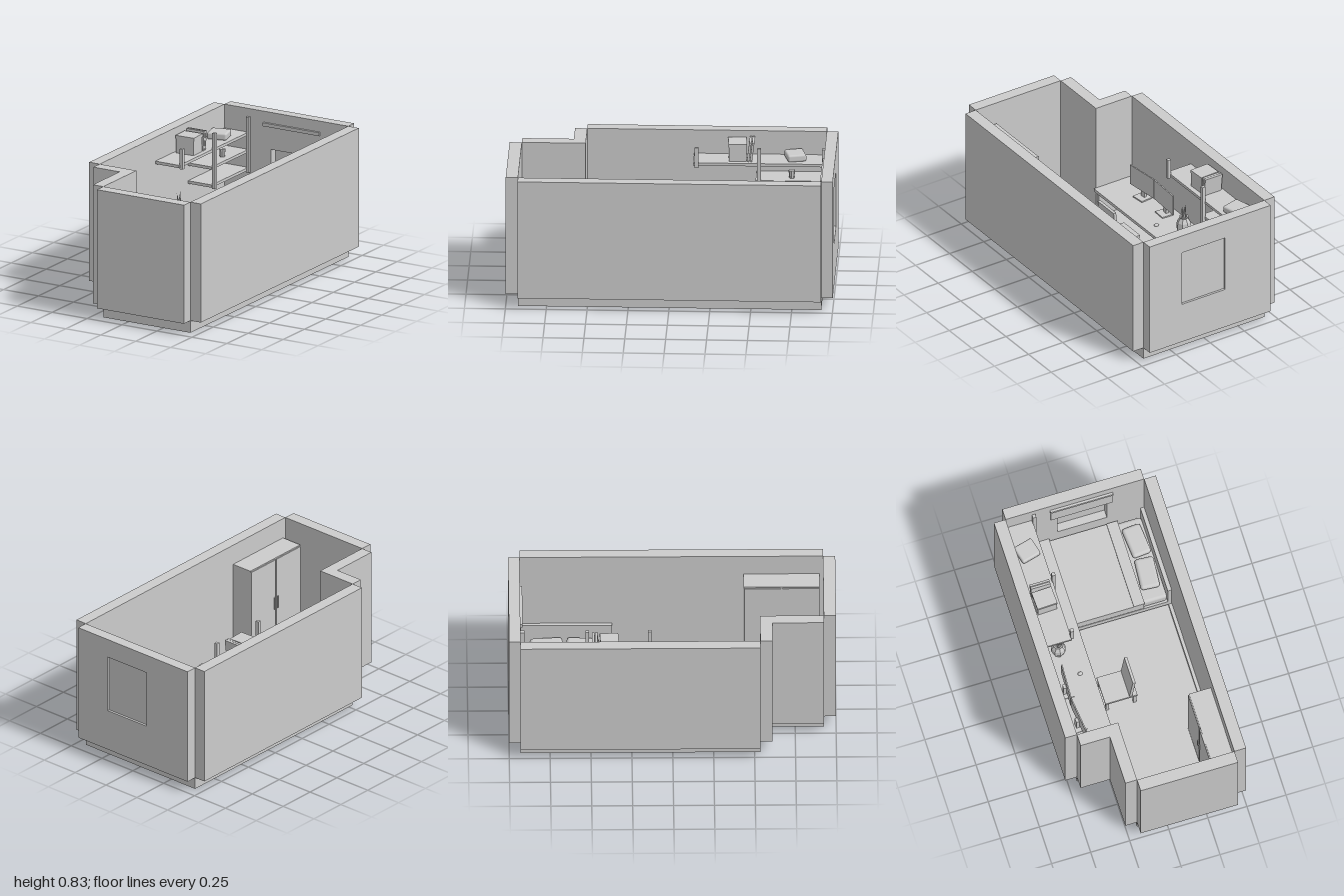
import * as THREE from 'three';
import { RoundedBoxGeometry } from 'three/addons/geometries/RoundedBoxGeometry.js';

const grey = new THREE.MeshStandardMaterial({ color: 0xcccccc, flatShading: true });
const soft = new THREE.MeshStandardMaterial({ color: 0xcccccc });

export function createModel() {
  const model = new THREE.Group();

  const part = (name, parent = model) => {
    const g = new THREE.Group();
    g.name = name;
    parent.add(g);
    return g;
  };
  const add = (name, geometry, parent = model, material = grey) => {
    const m = new THREE.Mesh(geometry, material);
    m.name = name;
    parent.add(m);
    return m;
  };
  // Box given by its limits on each axis
  const box = (name, [x0, x1], [y0, y1], [z0, z1], parent = model) => {
    const m = add(name, new THREE.BoxGeometry(x1 - x0, y1 - y0, z1 - z0), parent);
    m.position.set((x0 + x1) / 2, (y0 + y1) / 2, (z0 + z1) / 2);
    return m;
  };
  const cushion = (name, size, pos, turn, radius, parent = model) => {
    const m = add(name, new RoundedBoxGeometry(...size, 3, radius), parent, soft);
    m.position.set(...pos);
    m.rotation.y = turn;
    return m;
  };

  // Floor slab with a notched front corner
  const FLOOR = 0.077, TOP = 0.835;
  const outline = [[-0.443, 0.93], [0.443, 0.93], [0.443, -0.925], [-0.18, -0.925], [-0.18, -0.535], [-0.443, -0.535]];
  const floorShape = new THREE.Shape(outline.map(([x, y]) => new THREE.Vector2(x, y)));
  const floor = add('floor', new THREE.ExtrudeGeometry(floorShape, { depth: FLOOR, bevelEnabled: false }));
  floor.rotation.x = -Math.PI / 2;

  // Walls stand outside the floor edge and leave the corners open
  const walls = part('walls');
  const H = [FLOOR, TOP];
  box('rightWall', [0.443, 0.518], H, [-0.93, 0.925], walls);
  box('leftWall', [-0.518, -0.443], H, [-0.93, 0.535], walls);
  box('frontWall', [-0.18, 0.443], H, [0.925, 1], walls);
  box('notchFrontWall', [-0.443, -0.18], H, [0.535, 0.61], walls);
  box('notchSideWall', [-0.255, -0.18], H, [0.61, 0.925], walls);

  // Back wall with window opening
  const rect = (S, x0, x1, y0, y1) => new S([[x0, y0], [x1, y0], [x1, y1], [x0, y1]].map(p => new THREE.Vector2(...p)));
  const backShape = rect(THREE.Shape, -0.443, 0.443, FLOOR, TOP);
  backShape.holes.push(rect(THREE.Path, -0.11, 0.205, 0.345, 0.714));
  add('backWall', new THREE.ExtrudeGeometry(backShape, { depth: 0.07, bevelEnabled: false }), walls).position.z = -1;

  // Window pane, blind and rail
  box('windowPane', [-0.11, 0.205], [0.345, 0.714], [-0.985, -0.98]);
  box('blind', [-0.155, 0.24], [0.6, 0.75], [-0.928, -0.924]);
  box('blindRail', [-0.16, 0.242], [0.743, 0.765], [-0.93, -0.915]);

  // Skirting boards
  const skirting = part('skirting');
  const S = [FLOOR, 0.11];
  box('rightSkirting', [0.422, 0.443], S, [-0.36, 0.44], skirting);
  box('frontSkirting', [-0.17, 0.443], S, [0.903, 0.925], skirting);
  box('notchSkirting', [-0.18, -0.17], S, [0.61, 0.925], skirting);

  // Wardrobe with two doors facing the room
  const wardrobe = part('wardrobe');
  box('wardrobeBody', [0.304, 0.443], [FLOOR, 0.703], [0.44, 0.903], wardrobe);
  for (const z of [0.44, 0.674]) box('wardrobeDoor', [0.297, 0.304], [0.1, 0.695], [z + 0.003, z + 0.226], wardrobe);
  for (const z of [0.655, 0.685]) box('doorHandle', [0.29, 0.297], [0.36, 0.44], [z - 0.004, z + 0.004], wardrobe);

  // Bed along the back wall
  const bed = part('bed');
  box('bedFrame', [-0.155, 0.443], [0.1, 0.15], [-0.928, -0.363], bed);
  for (const x of [-0.15, 0.4]) for (const z of [-0.92, -0.4])
    box('bedFoot', [x, x + 0.03], [FLOOR, 0.1], [z, z + 0.03], bed);
  box('headboard', [0.418, 0.443], [0.1, 0.34], [-0.928, -0.363], bed);
  cushion('mattress', [0.565, 0.08, 0.545], [0.135, 0.185, -0.645], 0, 0.02, bed);
  box('blanket', [-0.163, 0.265], [0.16, 0.236], [-0.925, -0.362], bed);
  box('blanketFold', [0.2, 0.27], [0.232, 0.245], [-0.925, -0.36], bed);
  cushion('pillow', [0.12, 0.045, 0.2], [0.342, 0.245, -0.765], 0.08, 0.02, bed);
  cushion('pillow', [0.12, 0.045, 0.2], [0.342, 0.245, -0.545], -0.08, 0.02, bed);

  // Long desk along the left wall
  const desk = part('desk');
  box('deskTop', [-0.443, -0.165], [0.245, 0.265], [-0.93, 0.535], desk);
  for (const z of [-0.93, -0.2, 0.51]) box('deskSupport', [-0.44, -0.185], [FLOOR, 0.245], [z, z + 0.02], desk);

  // Two slightly angled screens on stands
  [[-0.36, 0.053, -0.045], [-0.352, 0.283, 0.11]].forEach(([x, z, turn]) => {
    const screen = part('monitor');
    screen.position.set(x, 0.265, z);
    screen.rotation.y = turn;
    box('screenPanel', [-0.004, 0.004], [0.05, 0.185], [-0.114, 0.114], screen);
    box('standNeck', [-0.022, -0.004], [0, 0.11], [-0.015, 0.015], screen);
    box('standBase', [-0.045, 0.038], [0, 0.008], [-0.043, 0.043], screen);
  });

  // Mouse on the desk
  const mouse = add('mouse', new THREE.SphereGeometry(0.016, 12, 8), model, soft);
  mouse.scale.set(1, 0.6, 0.75);
  mouse.position.set(-0.245, 0.268, -0.035);

  // Faceted vase with a few stems
  const vase = part('vase');
  vase.position.set(-0.33, 0.265, -0.21);
  const profile = [[0, 0], [0.034, 0], [0.047, 0.05], [0.043, 0.09], [0.026, 0.118], [0.03, 0.128], [0.02, 0.128], [0.02, 0.1], [0, 0.1]];
  add('vaseBody', new THREE.LatheGeometry(profile.map(p => new THREE.Vector2(...p)), 8), vase);
  for (let i = 0; i < 4; i++) {
    const stem = add('stem', new THREE.ConeGeometry(0.01, 0.09, 5), vase);
    stem.position.set(0.009 * Math.cos(i * 1.57), 0.145 + 0.008 * i, 0.009 * Math.sin(i * 1.57));
    stem.rotation.set(0.15 * Math.sin(i * 1.57), 0, -0.15 * Math.cos(i * 1.57));
  }

  // Wall shelves with front posts
  const shelves = part('shelves');
  box('topShelf', [-0.443, -0.272], [0.665, 0.683], [-0.93, -0.118], shelves);
  for (const y of [0.555, 0.44]) box('lowerShelf', [-0.443, -0.272], [y, y + 0.018], [-0.93, -0.5], shelves);
  for (const [z, low] of [[-0.917, 0.43], [-0.522, 0.43], [-0.14, 0.655]])
    box('shelfPost', [-0.276, -0.254], [low, 0.785], [z - 0.011, z + 0.011], shelves);

  // Things kept on the shelves
  cushion('storageBox', [0.125, 0.045, 0.115], [-0.365, 0.706, -0.74], 0.25, 0.012, shelves);
  box('carton', [-0.425, -0.303], [0.683, 0.775], [-0.44, -0.333], shelves).rotation.y = 0.04;
  box('cartonLid', [-0.428, -0.3], [0.775, 0.796], [-0.443, -0.33], shelves).rotation.y = 0.04;
  for (let i = 0; i < 2; i++) {
    const book = box('book', [-0.427, -0.302], [0.683, 0.805], [-0.485 + i * 0.018, -0.471 + i * 0.018], shelves);
    book.rotation.x = -0.12;
  }
  const jar = add('jar', new THREE.CylinderGeometry(0.02, 0.016, 0.05, 8), shelves);
  jar.position.set(-0.33, 0.598, -0.72);

  // Chair facing the desk
  const chair = part('chair');
  box('chairSeat', [-0.15, 0.055], [0.19, 0.21], [0, 0.18], chair);
  const back = box('chairBack', [0.015, 0.033], [0.21, 0.43], [0.002, 0.178], chair);
  back.rotation.z = -0.1;
  for (const x of [-0.145, 0.03]) for (const z of [0.005, 0.155])
    box('chairLeg', [x, x + 0.02], [FLOOR, 0.19], [z, z + 0.02], chair);

  return model;
}
